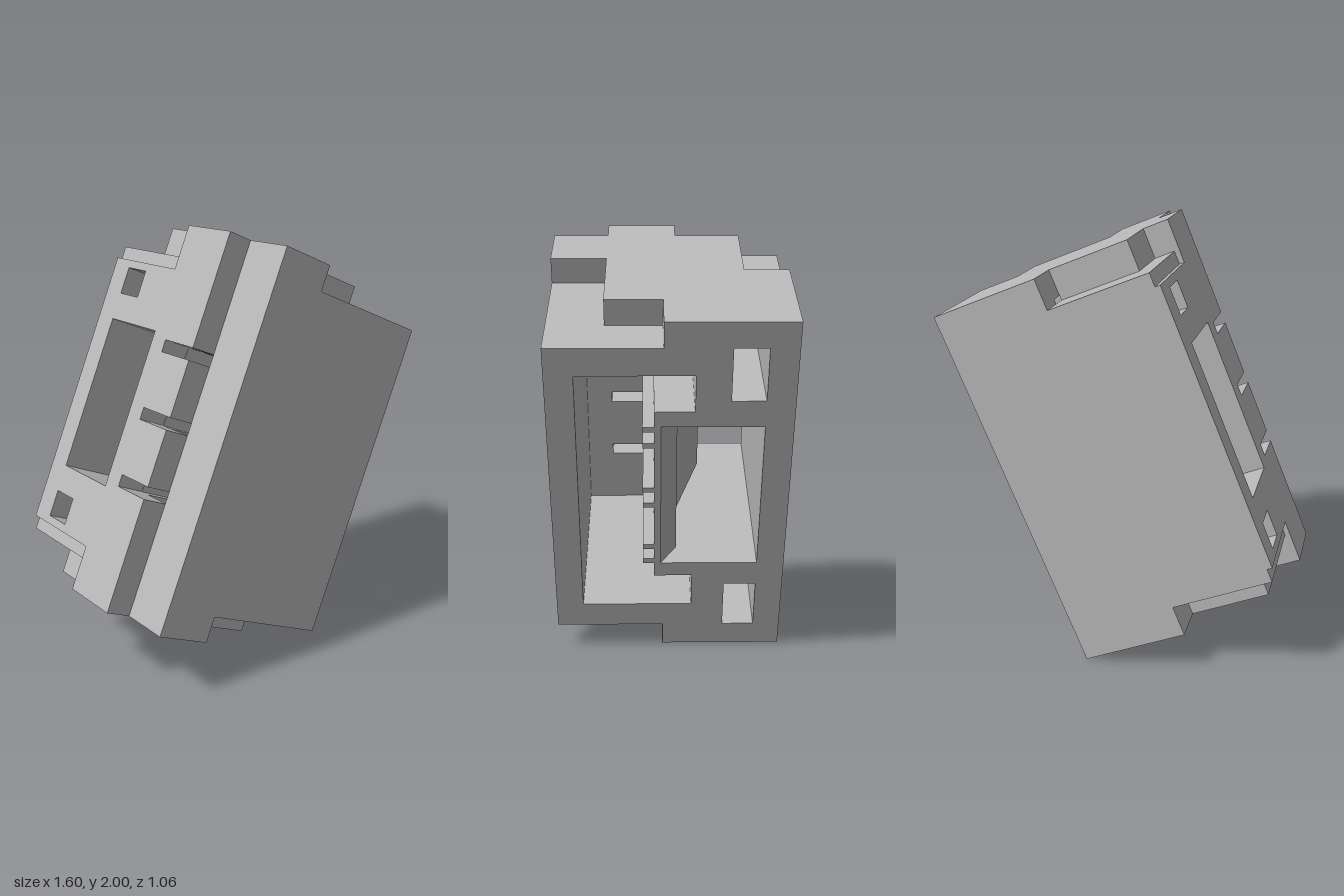
import * as THREE from 'three';

const grey = new THREE.MeshStandardMaterial({ color: 0xb8b8b8 });
grey.name = 'plain grey';

// Block of solid and cut boxes, [solid, x0, x1, y0, y1, z0, z1]; later boxes override earlier ones.
function carve(boxes) {
  const grid = [0, 1, 2].map(a =>
    [...new Set(boxes.flatMap(b => [b[1 + 2 * a], b[2 + 2 * a]]))].sort((m, n) => m - n));
  const solid = idx => {
    if (idx.some((i, a) => i < 0 || i >= grid[a].length - 1)) return 0;
    const mid = idx.map((i, a) => (grid[a][i] + grid[a][i + 1]) / 2);
    let s = 0;
    for (const b of boxes) {
      if (mid.every((m, a) => m > b[1 + 2 * a] && m < b[2 + 2 * a])) s = b[0];
    }
    return s;
  };
  const out = [];
  for (let i = 0; i < grid[0].length - 1; i++)
    for (let j = 0; j < grid[1].length - 1; j++)
      for (let k = 0; k < grid[2].length - 1; k++) {
        const cell = [i, j, k];
        if (!solid(cell)) continue;
        for (let a = 0; a < 3; a++) for (const side of [0, 1]) {
          const next = [...cell];
          next[a] += side ? 1 : -1;
          if (solid(next)) continue;
          const b = (a + 1) % 3, c = (a + 2) % 3;
          const corner = (u, v) => {
            const p = [];
            p[a] = grid[a][cell[a] + side];
            p[b] = grid[b][cell[b] + u];
            p[c] = grid[c][cell[c] + v];
            return p;
          };
          const q = [corner(0, 0), corner(1, 0), corner(1, 1), corner(0, 1)];
          if (!side) q.reverse();
          for (const n of [0, 1, 2, 0, 2, 3]) out.push(...q[n]);
        }
      }
  const g = new THREE.BufferGeometry();
  g.setAttribute('position', new THREE.Float32BufferAttribute(out, 3));
  g.computeVertexNormals();
  return g;
}

// Upright prism from an outline of [x, z] points
function prism(points, y0, y1) {
  const shape = new THREE.Shape(points.map(([x, z]) => new THREE.Vector2(x, -z)));
  const g = new THREE.ExtrudeGeometry(shape, { depth: y1 - y0, bevelEnabled: false });
  return g.rotateX(-Math.PI / 2).translate(0, y0, 0);
}

export function createModel() {
  const W = 0.504, H = 0.872, D = 0.53;
  const slots = [-0.318, 0, 0.318];
  const model = new THREE.Group();
  model.name = 'tiltedHousing';
  const body = new THREE.Group();
  body.name = 'body';
  body.rotation.z = -Math.PI / 8;
  body.position.y = 0.999;
  model.add(body);

  const add = (name, geometry) => {
    const m = new THREE.Mesh(geometry, grey);
    m.name = name;
    body.add(m);
    return m;
  };

  const boxes = [
    [1, -W, W, -H, H, -D, D],
    [0, -W, -0.384, -H, H, 0.28, D],             // front left step
    [0, W - 0.874, W, -0.622, 0.622, 0.07, 0.405], // deep side recess
    [0, -W, W, -0.372, 0.372, -0.405, -0.033],    // through window
    [0, 0.387, W, -0.372, 0.372, -0.033, 0.04],   // window flare
  ];
  // Cuts mirrored between top and bottom
  const mirrored = (x0, x1, y0, y1, z0, z1) => {
    boxes.push([0, x0, x1, y0, y1, z0, z1], [0, x0, x1, -y1, -y0, z0, z1]);
  };
  mirrored(-0.12, W, 0.752, H, 0.28, D);          // front notch
  mirrored(0.3, W, 0.752, H, 0.03, 0.28);         // front notch, side arm
  mirrored(-W, -0.383, 0.728, H, -D, -0.033);     // back left notch
  mirrored(-W, 0, 0.728, H, -D, -0.33);           // back notch
  mirrored(-W, -0.48, 0.665, 0.728, -D, -0.033);  // ledge above left panel
  mirrored(-0.37, W, 0.447, 0.622, -0.105, 0.07); // recess arms
  mirrored(0, W, 0.5, 0.75, -0.405, -0.257);      // right pockets
  mirrored(-W, -0.1, 0.5, 0.628, -0.405, -0.257); // left pockets
  // Slots through the left wall
  for (const y of slots) boxes.push([0, -W, -0.37, y - 0.028, y + 0.028, 0.067, 0.28]);
  add('housing', carve(boxes));

  // Sloping window flare and inner deflector
  add('windowFlare', prism([[W, 0.04], [0.387, -0.033], [0.387, 0.04]], -0.372, 0.372));
  add('deflector', prism([[0.25, -0.033], [-0.13, -0.15], [-0.13, -0.033]], -0.25, 0.25));

  // Pairs of guide ribs beside each slot
  for (const y of slots) for (const s of [-1, 1]) {
    const rib = add('guideRib', new THREE.BoxGeometry(0.874, 0.025, 0.05));
    rib.position.set(0.067, y + s * 0.041, 0.095);
  }
  return model;
}
